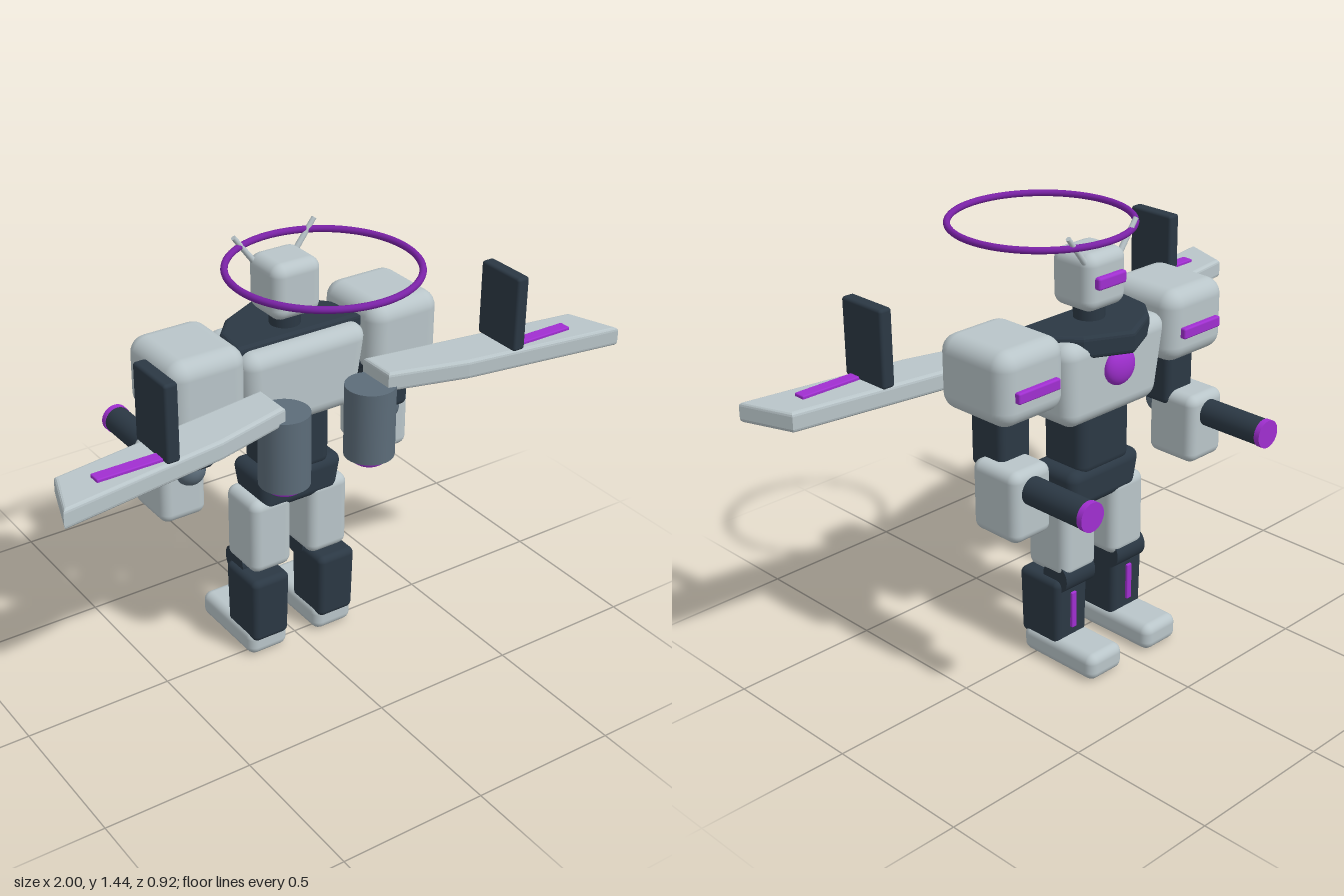
import * as THREE from 'three';
import { RoundedBoxGeometry } from 'three/addons/geometries/RoundedBoxGeometry.js';

const mat = (color) => new THREE.MeshStandardMaterial({ color });

export function createModel() {
  const light = mat(0xb9c5c9), dark = mat(0x2b3844), steel = mat(0x5c6c79), glow = mat(0xa02fd0), ring = mat(0x7a22a6);
  const model = new THREE.Group();
  model.name = 'wingedRobot';

  const add = (parent, name, geometry, material, x = 0, y = 0, z = 0) => {
    const mesh = new THREE.Mesh(geometry, material);
    mesh.name = name;
    mesh.position.set(x, y, z);
    parent.add(mesh);
    return mesh;
  };

  // Rounded block whose bottom can be narrowed by a factor
  const block = (w, h, d, r, bottom = 1) => {
    const g = new RoundedBoxGeometry(w, h, d, 4, r);
    if (bottom !== 1) {
      const p = g.attributes.position;
      for (let i = 0; i < p.count; i++) {
        const k = THREE.MathUtils.lerp(bottom, 1, p.getY(i) / h + 0.5);
        p.setX(i, p.getX(i) * k);
        p.setZ(i, p.getZ(i) * k);
      }
    }
    return g;
  };

  // Bevelled flat slab from an [x, z] outline, between two heights
  const slab = (points, y0, y1, b) => {
    const shape = new THREE.Shape(points.map(([x, z]) => new THREE.Vector2(x, -z)));
    const g = new THREE.ExtrudeGeometry(shape, {
      depth: y1 - y0 - 2 * b, bevelThickness: b, bevelSize: b, bevelOffset: -b, bevelSegments: 3,
    });
    return g.rotateX(-Math.PI / 2).translate(0, y0 + b, 0);
  };

  const rod = (r0, r1, h, axis = 'y') => {
    const g = new THREE.CylinderGeometry(r0, r1, h, 32);
    if (axis === 'x') g.rotateZ(Math.PI / 2);
    if (axis === 'z') g.rotateX(Math.PI / 2);
    return g;
  };

  // Head
  const head = new THREE.Group();
  head.name = 'head';
  model.add(head);
  add(head, 'skull', block(0.175, 0.185, 0.17, 0.038), light, 0, 1.282, -0.055);
  add(head, 'visor', block(0.12, 0.04, 0.03, 0.008), glow, 0, 1.287, -0.143);
  add(head, 'neck', rod(0.05, 0.05, 0.1), dark, 0, 1.16, -0.055);
  add(head, 'halo', new THREE.TorusGeometry(0.292, 0.011, 12, 72).rotateX(Math.PI / 2), ring, 0, 1.407, 0.152);

  // Torso
  const torso = new THREE.Group();
  torso.name = 'torso';
  model.add(torso);
  add(torso, 'chest', block(0.46, 0.285, 0.275, 0.05, 0.86), light, 0, 0.99, -0.05);
  add(torso, 'collar', slab([[-0.23, 0.03], [-0.21, -0.1], [-0.145, -0.175], [0, -0.248],
    [0.145, -0.175], [0.21, -0.1], [0.23, 0.03]], 1.075, 1.148, 0.014), dark);
  const core = add(torso, 'chestCore', new THREE.SphereGeometry(0.062, 32, 20), glow, 0, 1.02, -0.185);
  core.scale.z = 0.52;
  add(torso, 'abdomen', block(0.225, 0.24, 0.18, 0.035), dark, 0, 0.77, -0.045);
  add(torso, 'pelvis', block(0.32, 0.14, 0.195, 0.035, 0.88), dark, 0, 0.608, -0.045);

  for (const s of [1, -1]) {
    const side = s > 0 ? 'left' : 'right';
    const group = (part) => {
      const g = new THREE.Group();
      g.name = side + part;
      model.add(g);
      return g;
    };

    // Antenna
    const antenna = add(head, side + 'Antenna', rod(0.008, 0.01, 0.13), light, s * 0.107, 1.39, -0.111);
    antenna.rotation.z = -s * 0.65;

    // Arm with forearm cannon
    const arm = group('Arm');
    add(arm, 'shoulder', block(0.265, 0.24, 0.295, 0.055), light, s * 0.36, 1.065, -0.045);
    add(arm, 'shoulderLight', block(0.17, 0.036, 0.03, 0.006), glow, s * 0.36, 1.05, -0.195);
    add(arm, 'shoulderJoint', rod(0.075, 0.075, 0.16, 'x'), dark, s * 0.285, 0.995, -0.045);
    add(arm, 'upperArm', block(0.127, 0.21, 0.14, 0.022), dark, s * 0.37, 0.868, -0.045);
    add(arm, 'elbow', new THREE.SphereGeometry(0.052, 24, 16), steel, s * 0.373, 0.752, -0.03);
    add(arm, 'forearm', block(0.16, 0.235, 0.193, 0.032), light, s * 0.395, 0.695, -0.117);
    add(arm, 'cannon', rod(0.045, 0.045, 0.26, 'z'), dark, s * 0.4, 0.745, -0.312);
    add(arm, 'muzzle', block(0.092, 0.092, 0.02, 0.004), glow, s * 0.4, 0.745, -0.45).geometry =
      rod(0.047, 0.047, 0.02, 'z');

    // Leg
    const leg = group('Leg');
    add(leg, 'thigh', block(0.152, 0.27, 0.175, 0.032), light, s * 0.11, 0.45, -0.045);
    add(leg, 'knee', rod(0.053, 0.053, 0.13, 'x'), dark, s * 0.118, 0.31, -0.085);
    add(leg, 'shin', block(0.142, 0.24, 0.18, 0.022, 0.95), dark, s * 0.13, 0.183, -0.024);
    add(leg, 'shinLight', block(0.022, 0.13, 0.024, 0.004), glow, s * 0.13, 0.185, -0.109);
    add(leg, 'foot', block(0.15, 0.09, 0.318, 0.03), light, s * 0.13, 0.047, -0.111);

    // Wing with fin, light strip and thruster
    const wing = group('Wing');
    const outline = [[0.19, 0.1], [0.94, 0.21], [1, 0.385], [0.45, 0.305], [0.19, 0.235]];
    add(wing, 'wingPanel', slab(outline.map(([x, z]) => [s * x, z]), 0.97, 1.034, 0.012), light);
    add(wing, 'fin', block(0.045, 0.25, 0.18, 0.01), dark, s * 0.627, 1.157, 0.243);
    add(wing, 'wingLight', block(0.22, 0.02, 0.042, 0.004), glow, s * 0.747, 1.034, 0.288);
    add(wing, 'thruster', rod(0.082, 0.082, 0.245), steel, s * 0.16, 0.864, 0.183);
    add(wing, 'nozzle', new THREE.LatheGeometry([[0, -0.015], [0.048, -0.015], [0.057, -0.008], [0.058, 0.005],
      [0.05, 0.018], [0, 0.018]].map(([x, y]) => new THREE.Vector2(x, y)), 32), glow, s * 0.16, 0.73, 0.183);
  }
  return model;
}
